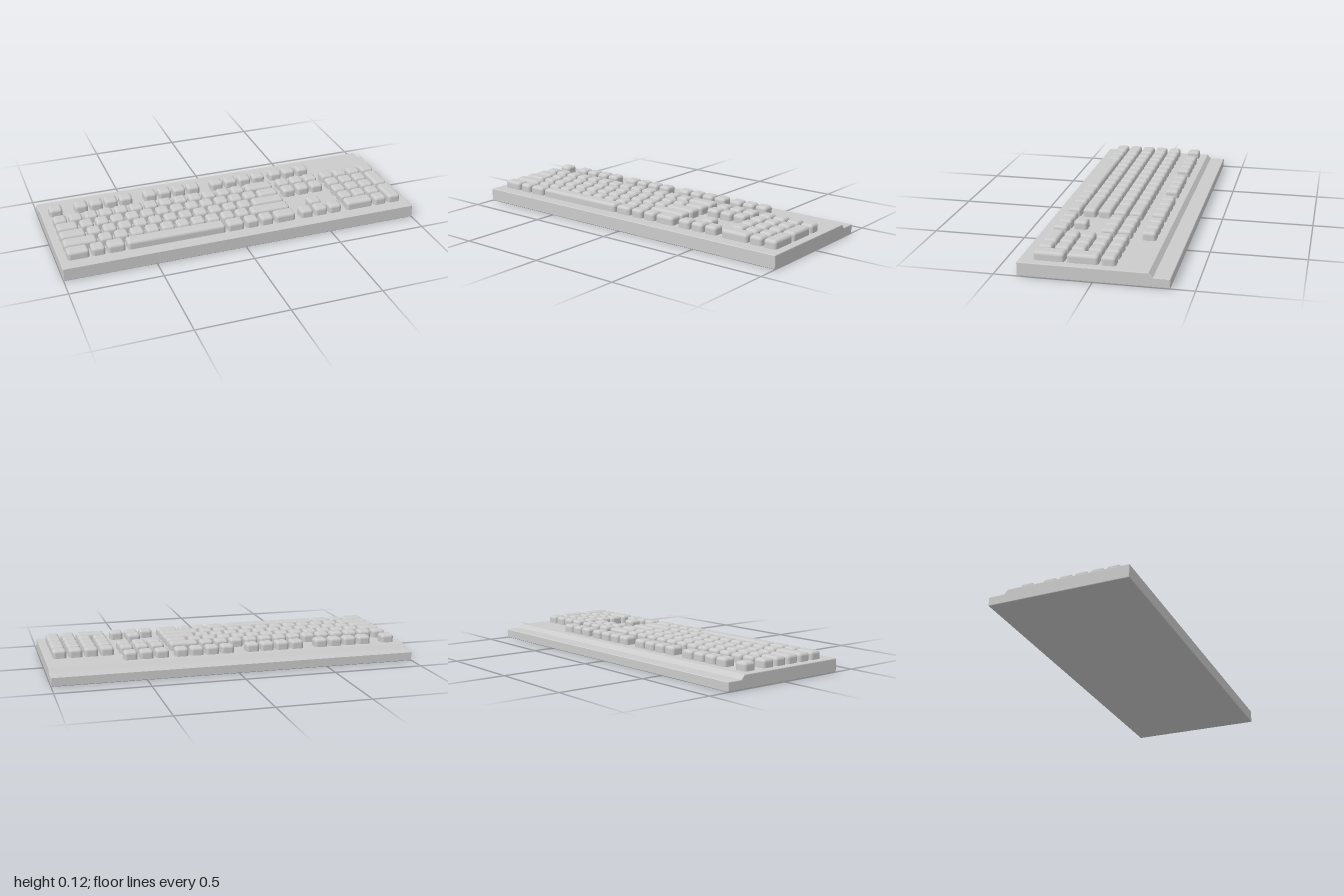
import * as THREE from 'three';
import { RoundedBoxGeometry } from 'three/addons/geometries/RoundedBoxGeometry.js';

const PITCH = 0.0856, GAP = 0.0125;   // key spacing and the gap between keys
const LEFT = -0.957;                  // left edge of the key field
const TOP = 0.118, SUNK = 0.05;       // key top, and key bottom hidden in the case
const ROW_Z = [-0.195, -0.068, 0.018, 0.103, 0.188, 0.273]; // row centres, back to front

const ones = (n) => Array(n).fill(1);

export function createModel() {
  const model = new THREE.Group();
  model.name = 'keyboard';
  const material = new THREE.MeshStandardMaterial({ color: 0xcccccc });

  // Case: side profile with a stepped rear ledge, extruded across the width
  const b = 0.004;
  const profile = new THREE.Shape([
    [-0.38, 0.003], [-0.377, 0], [0.377, 0], [0.38, 0.003],
    [0.38, 0.047], [0.377, 0.05], [0.295, 0.05], [0.274, 0.073],
    [-0.377, 0.073], [-0.38, 0.07],
  ].map(([x, y]) => new THREE.Vector2(x, y)));
  const caseGeometry = new THREE.ExtrudeGeometry(profile, {
    depth: 2 - 2 * b, bevelEnabled: true, bevelThickness: b, bevelSize: b, bevelOffset: -b, bevelSegments: 2,
  });
  caseGeometry.translate(0, 0, b - 1).rotateY(Math.PI / 2);
  const body = new THREE.Mesh(caseGeometry, material);
  body.name = 'case';
  model.add(body);

  // One key cap; u and w are in key units, rows is how many rows it spans
  const addKey = (group, u, row, w = 1, rows = 1) => {
    const width = w * PITCH - GAP;
    const z0 = ROW_Z[row], z1 = ROW_Z[row + rows - 1];
    const depth = z1 - z0 + PITCH - GAP;
    const key = new THREE.Mesh(new RoundedBoxGeometry(width, TOP - SUNK, depth, 3, 0.017), material);
    key.position.set(LEFT + u * PITCH + width / 2, (TOP + SUNK) / 2, (z0 + z1) / 2);
    key.name = 'key';
    group.add(key);
  };
  // A run of neighbouring keys of the given widths
  const addRun = (group, u, row, widths) => {
    for (const w of widths) {
      addKey(group, u, row, w);
      u += w;
    }
  };
  const addGroup = (name) => {
    const group = new THREE.Group();
    group.name = name;
    model.add(group);
    return group;
  };

  // Rear row: escape, then three blocks of four
  const rearRowKeys = addGroup('rearRowKeys');
  addKey(rearRowKeys, 0, 0);
  for (const u of [1.667, 6.333, 11]) addRun(rearRowKeys, u, 0, ones(4));

  // Main typing block
  const mainKeys = addGroup('mainKeys');
  [
    [...ones(13), 2],
    [1.5, ...ones(12), 1.5],
    [1.75, ...ones(11), 2.25],
    [2.25, ...ones(10), 2.75],
    [1.5, 1, 1.25, 6.5, 1.25, 1, 1, 1.5],
  ].forEach((widths, i) => addRun(mainKeys, 0, i + 1, widths));

  // Navigation and arrow cluster
  const navigationKeys = addGroup('navigationKeys');
  for (const row of [0, 1, 2, 5]) addRun(navigationKeys, 15.25, row, ones(3));
  addKey(navigationKeys, 16.25, 4);

  // Number pad with two tall keys on its outer side
  const numberPad = addGroup('numberPad');
  addRun(numberPad, 18.5, 1, ones(4));
  for (const row of [2, 3, 4]) addRun(numberPad, 18.5, row, ones(3));
  addRun(numberPad, 18.5, 5, [2, 1]);
  for (const row of [2, 4]) addKey(numberPad, 21.5, row, 1, 2);

  return model;
}
